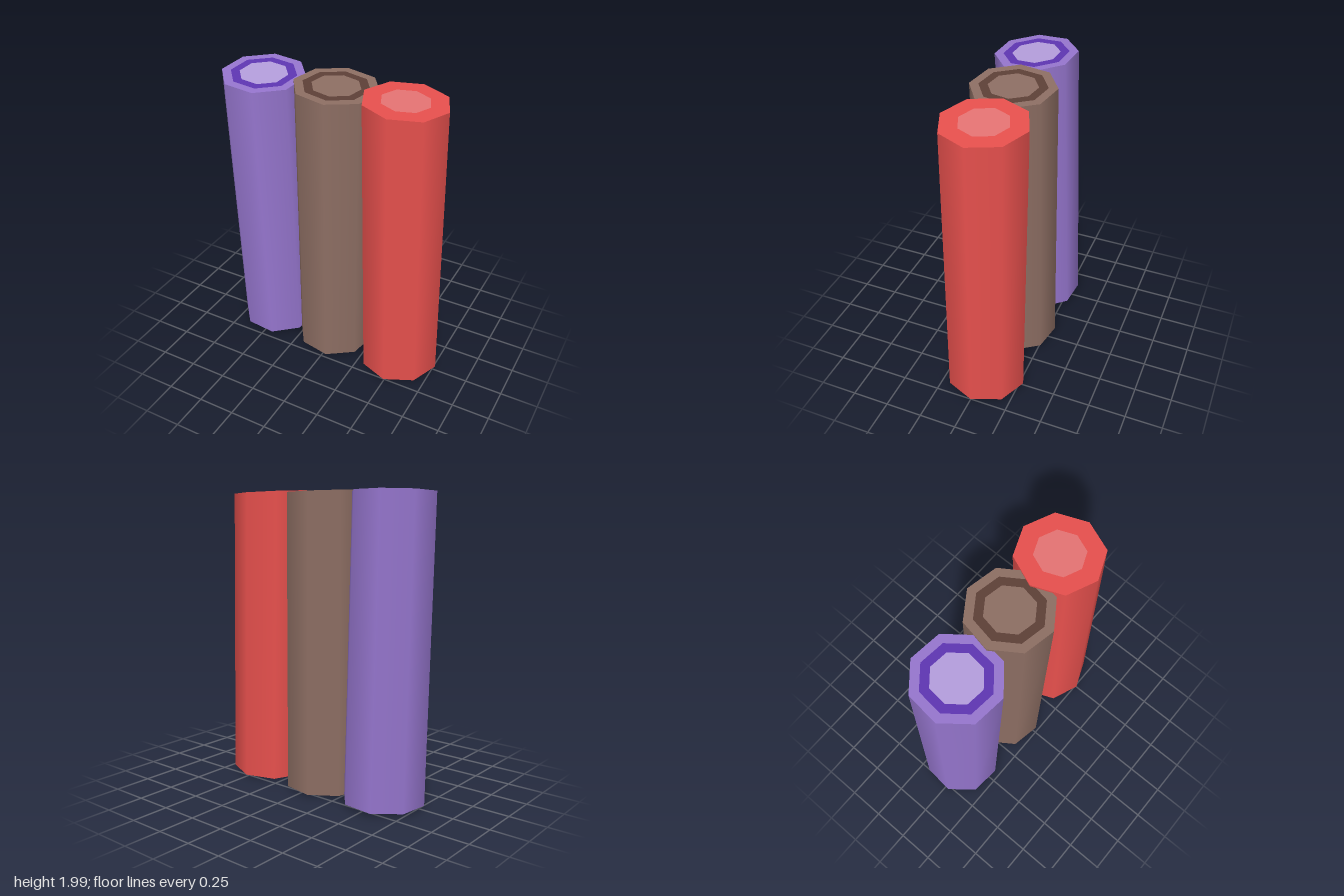
import * as THREE from 'three';

const R = 0.271, RING = 0.213, CORE = 0.156, SIDES = 8;

function mat(name, color) {
  const m = new THREE.MeshStandardMaterial({ color });
  m.name = name;
  return m;
}

// Lays a unit-height shape (y from 0 to 1) between two tilted end planes.
function lean(geo, { bottom, top }) {
  const p = geo.attributes.position;
  for (let i = 0; i < p.count; i++) {
    const x = p.getX(i), t = p.getY(i), z = p.getZ(i);
    const place = (e) => new THREE.Vector3(e.x + x, e.y + e.sx * x + e.sz * z, e.z + z);
    const v = place(bottom).lerp(place(top), t);
    p.setXYZ(i, v.x, v.y, v.z);
  }
  return geo;
}

function stick(name, spec, mats) {
  const group = new THREE.Group();
  group.name = name;
  const add = (part, geo, m) => {
    const mesh = new THREE.Mesh(geo, m);
    mesh.name = part;
    group.add(mesh);
  };

  // smooth-shaded eight-sided wall
  const wall = new THREE.CylinderGeometry(R, R, 1, SIDES, 1, true, spec.turn).translate(0, 0.5, 0);
  add('wall', lean(wall, spec), mats.body);

  // concentric bands on both ends
  for (const end of ['top', 'bottom']) {
    const up = end === 'top';
    const bands = [['Rim', RING, R, mats.body], ['Ring', CORE, RING, mats.ring], ['Core', 0, CORE, mats.core]];
    for (const [part, inner, outer, m] of bands) {
      const start = up ? spec.turn : -spec.turn;
      const geo = inner > 0
        ? new THREE.RingGeometry(inner, outer, SIDES, 1, start)
        : new THREE.CircleGeometry(outer, SIDES, start);
      geo.rotateX(up ? -Math.PI / 2 : Math.PI / 2).translate(0, up ? 1 : 0, 0);
      lean(geo, spec).computeVertexNormals();
      add(end + part, geo, m);
    }
  }
  return group;
}

export function createModel() {
  const model = new THREE.Group();
  model.name = 'threeSticks';
  const red = mat('red', 0xef5350), brown = mat('brown', 0x8d6e63), purple = mat('purple', 0x9575cd);
  const deg = Math.PI / 180;

  // x, y, z: centre of the end; sx, sz: slope of its plane
  model.add(stick('purpleStick', {
    turn: 17 * deg,
    bottom: { x: -0.515, y: 0.024, z: -0.05, sx: 0, sz: -0.03 },
    top: { x: -0.497, y: 1.98, z: 0.04, sx: -0.03, sz: -0.065 },
  }, { body: purple, ring: mat('deepPurple', 0x5e35b1), core: mat('palePurple', 0xb39ddb) }));

  model.add(stick('brownStick', {
    turn: 12 * deg,
    bottom: { x: -0.027, y: 0.018, z: -0.035, sx: 0, sz: -0.015 },
    top: { x: -0.008, y: 1.979, z: 0, sx: -0.04, sz: -0.01 },
  }, { body: brown, ring: mat('darkBrown', 0x5d4037), core: brown }));

  model.add(stick('redStick', {
    turn: 0,
    bottom: { x: 0.498, y: 0.018, z: -0.008, sx: 0.045, sz: 0 },
    top: { x: 0.445, y: 1.973, z: -0.01, sx: -0.05, sz: 0 },
  }, { body: red, ring: red, core: mat('paleRed', 0xe57373) }));

  return model;
}
